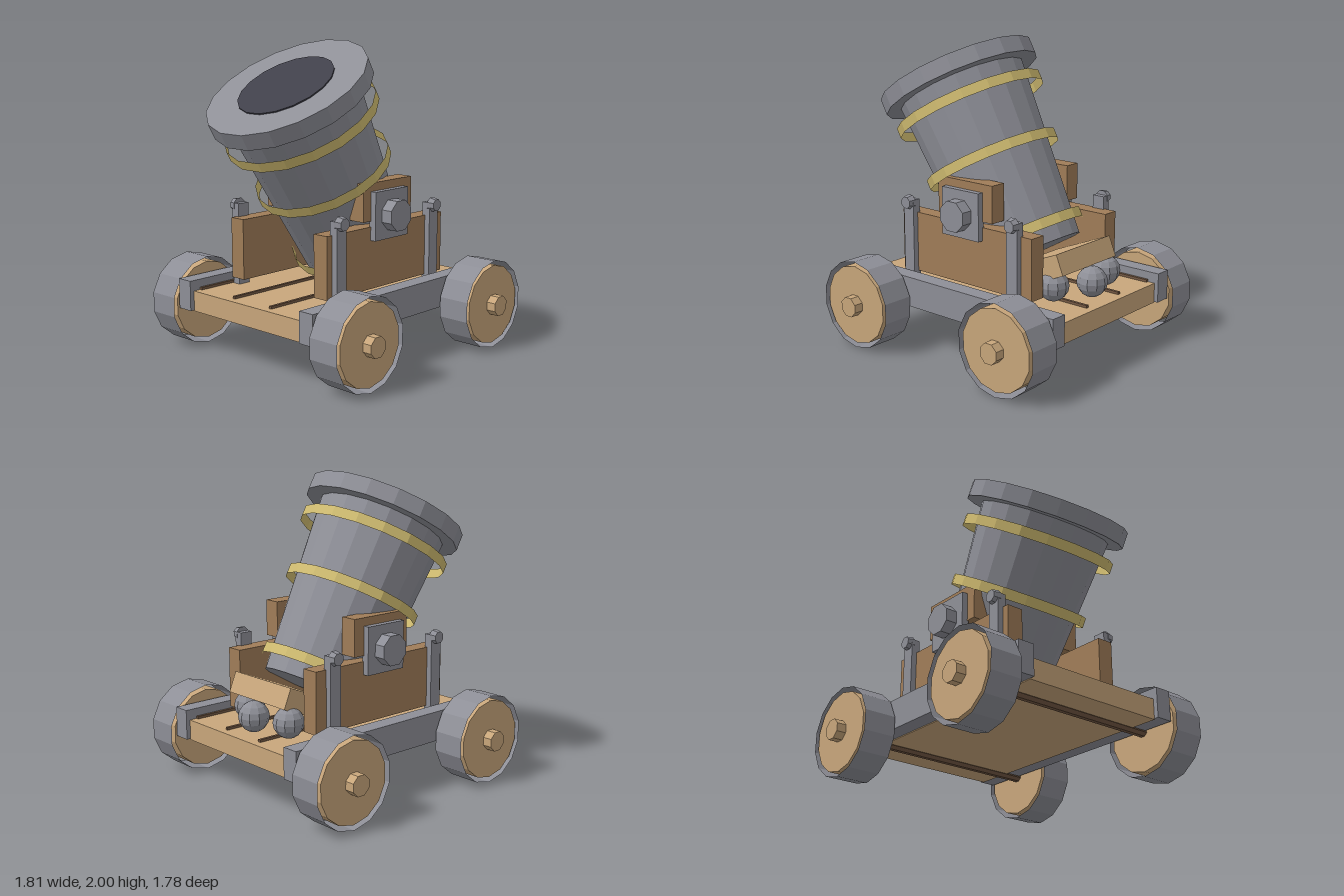
import * as THREE from 'three';

const mat = (name, color) => {
  const m = new THREE.MeshStandardMaterial({ color, flatShading: true, side: THREE.DoubleSide });
  m.name = name;
  return m;
};

export function createModel() {
  const iron = mat('iron', 0x8e8f97);
  const brass = mat('brass', 0xcfbb70);
  const lightWood = mat('lightWood', 0xc8a67b);
  const midWood = mat('midWood', 0xa07d58);
  const darkWood = mat('darkWood', 0x735843);
  const boreDark = mat('boreDark', 0x40404a);

  const root = new THREE.Group();
  root.name = 'mortarCart';

  const add = (parent, name, geometry, material, x = 0, y = 0, z = 0) => {
    const mesh = new THREE.Mesh(geometry, material);
    mesh.name = name;
    mesh.position.set(x, y, z);
    parent.add(mesh);
    return mesh;
  };
  // Box given by its limits on each axis
  const box = (name, material, x0, x1, y0, y1, z0, z1) =>
    add(root, name, new THREE.BoxGeometry(x1 - x0, y1 - y0, z1 - z0), material,
      (x0 + x1) / 2, (y0 + y1) / 2, (z0 + z1) / 2);
  // Cylinder lying along z between z0 and z1
  const rod = (name, material, r0, r1, sides, x, y, z0, z1, open = false, turn = 0) => {
    const g = new THREE.CylinderGeometry(r1, r0, z1 - z0, sides, 1, open, turn).rotateX(Math.PI / 2);
    return add(root, name, g, material, x, y, (z0 + z1) / 2);
  };

  // Barrel, tilted back; its local origin is the centre of the muzzle face
  const barrel = new THREE.Group();
  barrel.name = 'barrel';
  barrel.position.set(-0.45, 1.737, 0);
  barrel.rotation.z = Math.PI / 6;
  root.add(barrel);
  const SIDES = 18;
  add(barrel, 'barrelBody', new THREE.CylinderGeometry(0.437, 0.345, 1.22, SIDES), iron, 0, -0.69);
  add(barrel, 'muzzleLip', new THREE.CylinderGeometry(0.535, 0.535, 0.109, SIDES), iron, 0, -0.0545);
  add(barrel, 'bore', new THREE.CylinderGeometry(0.32, 0.32, 0.008, SIDES), boreDark, 0, 0.004);
  // Thin loose hoops around the barrel
  for (const [r, top] of [[0.508, -0.222], [0.454, -0.612], [0.406, -1.145]]) {
    add(barrel, 'barrelHoop', new THREE.CylinderGeometry(r, r, 0.067, SIDES, 1, true), brass, 0, top - 0.0335);
  }

  // Trunnion through the barrel
  rod('trunnion', iron, 0.103, 0.103, 8, 0.01, 0.93, -0.548, 0.548, false, Math.PI / 8);

  // Deck with thin battens
  box('deck', lightWood, -0.806, 0.836, 0.28, 0.413, -0.496, 0.496);
  for (const z of [-0.485, -0.165, 0.165, 0.485]) {
    box('deckBatten', darkWood, -0.755, 0.785, 0.405, 0.43, z - 0.01, z + 0.01);
  }

  // Parts mirrored on both sides of the carriage
  for (const s of [1, -1]) {
    const span = (a, b) => (s > 0 ? [a, b] : [-b, -a]);
    box('sideRail', iron, -0.836, 0.864, 0.286, 0.482, ...span(0.494, 0.606));
    box('cheek', midWood, -0.534, 0.558, 0.467, 0.864, ...span(0.318, 0.43));
    box('cheekBlock', midWood, -0.21, 0.243, 0.9, 1.14, ...span(0.318, 0.43));
    box('trunnionPlate', iron, -0.143, 0.165, 0.778, 1.087, ...span(0.42, 0.47));
    for (const x of [-0.447, 0.432]) {
      box('post', iron, x - 0.043, x + 0.043, 0.4, 0.95, ...span(0.41, 0.468));
      // Knob with a narrower outer end
      const [k0, k1] = span(0.45, 0.496);
      rod('postKnob', iron, s > 0 ? 0.05 : 0.04, s > 0 ? 0.04 : 0.05, 8, x, 0.932, k0, k1, false, Math.PI / 8);
    }
    // Wheels: thin tyre, wooden disc and hub
    for (const x of [-0.588, 0.615]) {
      rod('tyre', iron, 0.2915, 0.2915, 14, x, 0.2915, ...span(0.615, 0.832), true);
      rod('wheelDisc', lightWood, 0.26, 0.26, 14, x, 0.2915, ...span(0.62, 0.826));
      rod('hub', lightWood, 0.068, 0.068, 8, x, 0.2915, ...span(0.82, 0.89), false, Math.PI / 8);
    }
  }

  // Axles
  for (const x of [-0.588, 0.615]) {
    rod('axle', darkWood, 0.037, 0.037, 8, x, 0.2915, -0.63, 0.63, false, Math.PI / 8);
  }

  // Tilted wedge behind the barrel
  const wedge = add(root, 'wedge', new THREE.BoxGeometry(0.45, 0.137, 0.55), lightWood, 0.442, 0.596, 0);
  wedge.rotation.z = Math.PI / 8;

  // Cannonballs on the deck
  for (const [x, z] of [[0.56, 0.218], [0.695, 0], [0.617, -0.244]]) {
    add(root, 'cannonball', new THREE.SphereGeometry(0.099, 10, 8), iron, x, 0.522, z);
  }

  return root;
}
